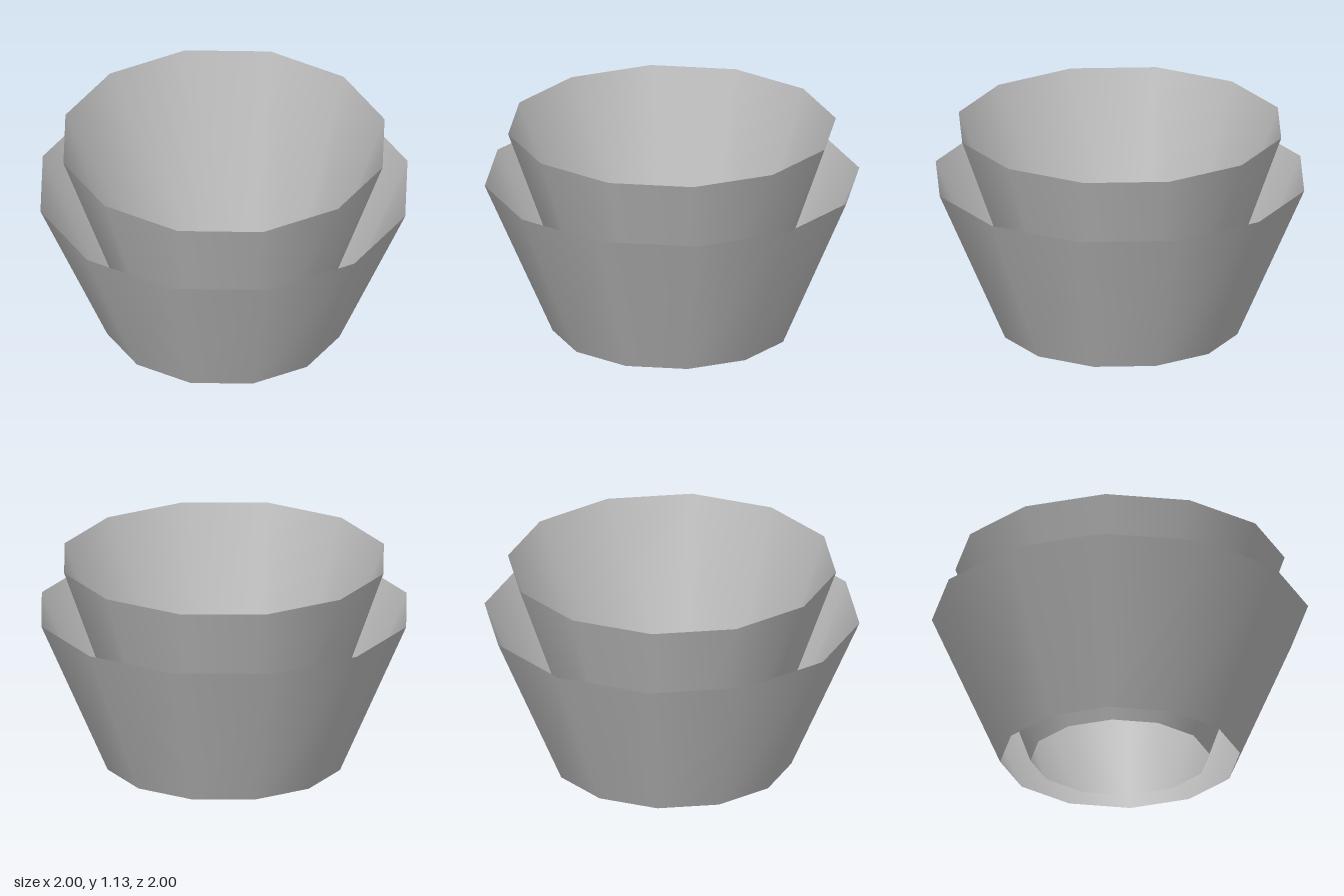
import * as THREE from 'three';

export function createModel() {
  const model = new THREE.Group();
  const grey = new THREE.MeshStandardMaterial({ color: 0xbbbbbb, side: THREE.DoubleSide });
  grey.name = 'grey';

  // Open twelve-sided flared sleeve standing on the ground
  function addSleeve(name, topRadius, bottomRadius, height) {
    const geometry = new THREE.CylinderGeometry(topRadius, bottomRadius, height, 12, 1, true);
    geometry.translate(0, height / 2, 0);
    const mesh = new THREE.Mesh(geometry, grey);
    mesh.name = name;
    model.add(mesh);
  }

  addSleeve('outerSleeve', 1, 0.637, 0.843);
  addSleeve('innerSleeve', 0.875, 0.476, 1.132);
  return model;
}
